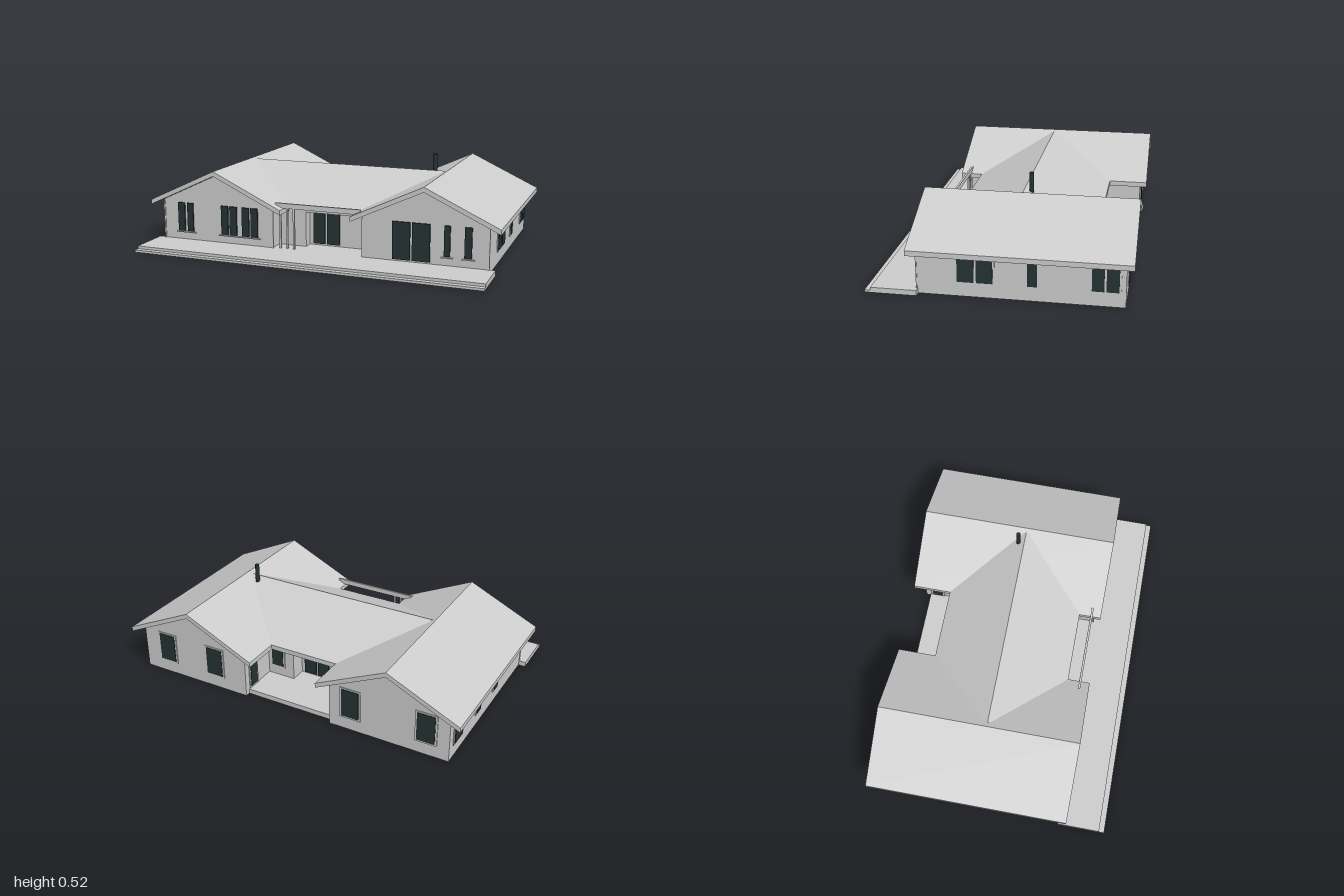
import * as THREE from 'three';

const plaster = new THREE.MeshStandardMaterial({ color: 0xcccccc });
plaster.name = 'paleGrey';
const dark = new THREE.MeshStandardMaterial({ color: 0x253232 });
dark.name = 'darkGlass';

const SLOPE = 0.4675, EAVE = 0.25, THICK = 0.027;

export function createModel() {
  const house = new THREE.Group();
  house.name = 'house';

  const add = (name, geometry, material = plaster) => {
    const mesh = new THREE.Mesh(geometry, material);
    mesh.name = name;
    house.add(mesh);
    return mesh;
  };
  // Box given by its limits on each axis
  const box = (name, x0, x1, y0, y1, z0, z1, material) =>
    add(name, new THREE.BoxGeometry(x1 - x0, y1 - y0, z1 - z0), material)
      .position.set((x0 + x1) / 2, (y0 + y1) / 2, (z0 + z1) / 2);
  const extrude = (points, depth) => new THREE.ExtrudeGeometry(
    new THREE.Shape(points.map(([x, y]) => new THREE.Vector2(x, y))),
    { depth, bevelEnabled: false });
  // Folded roof slab section of a given half span
  const roofSection = (h) => {
    const top = EAVE + h * SLOPE;
    return [[-h, EAVE - THICK], [0, top - THICK], [h, EAVE - THICK], [h, EAVE], [0, top], [-h, EAVE]];
  };

  // Two gabled wings
  for (const s of [-1, 1]) {
    const wallTop = EAVE - THICK + 0.0625 * SLOPE;
    const walls = add('wingWalls', extrude(
      [[-0.3375, 0], [0.3375, 0], [0.3375, wallTop], [0, 0.41], [-0.3375, wallTop]], 1.03));
    walls.position.set(s * 0.5985, 0, -0.625);
    const roof = add('wingRoof', extrude(roofSection(0.4), 1.107));
    roof.position.set(s * 0.6, 0, -0.664);
  }

  // Central roof running between the wings
  const middleRoof = extrude(roofSection(0.385), 1.15);
  middleRoof.rotateY(Math.PI / 2);
  middleRoof.translate(-0.575, 0, -0.065);
  add('middleRoof', middleRoof);

  // Central walls, entry block and rear block
  box('middleWalls', -0.27, 0.27, 0, 0.27, -0.3, 0.26);
  box('entryBlock', -0.27, -0.1, 0, 0.228, 0.2, 0.315);
  box('rearBlock', 0.1, 0.27, 0, 0.245, -0.39, -0.25);

  // Floor slab and stepped front terrace
  box('floorSlab', -0.27, 0.27, 0, 0.028, -0.597, 0.405);
  box('terrace', -0.976, 0.97, 0, 0.028, 0.4, 0.635);
  box('terraceStep', -0.976, 0.97, 0, 0.013, 0.63, 0.665);

  // Entry beam with slats
  box('entryBeam', -0.25, 0.245, 0.252, 0.28, 0.383, 0.395);
  for (const x of [-0.22, -0.18, -0.14]) box('entrySlat', x - 0.005, x + 0.005, 0.02, 0.26, 0.384, 0.394);

  // Downpipes on the wing corners
  for (const s of [-1, 1]) for (const x of [0.26, 0.935]) {
    box('downpipe', s * x - 0.004, s * x + 0.004, 0.028, 0.24, 0.403, 0.409);
  }

  // Flat plate on a wall; axis and dir give the way the wall faces
  const plate = (name, axis, dir, plane, a, b, y0, y1, t, material) => {
    const p = Math.min(plane, plane + dir * t), q = Math.max(plane, plane + dir * t);
    if (axis === 'z') box(name, a, b, y0, y1, p, q, material);
    else box(name, p, q, y0, y1, a, b, material);
  };
  // Row of panes with either a surrounding frame or only a sill
  const windowRow = (axis, dir, plane, panes, y0, y1, trim) => {
    const a = panes[0][0], b = panes[panes.length - 1][1];
    if (trim === 'frame') plate('windowFrame', axis, dir, plane, a - 0.01, b + 0.01, y0 - 0.01, y1 + 0.008, 0.005);
    if (trim === 'sill') plate('windowSill', axis, dir, plane, a - 0.015, b + 0.015, y0 - 0.01, y0 - 0.004, 0.008);
    for (const [p, q] of panes) plate('windowPane', axis, dir, plane, p, q, y0, y1, 0.008, dark);
  };

  // Front windows and glazed doors
  const F = 0.405;
  windowRow('z', 1, F, [[-0.845, -0.803], [-0.787, -0.75]], 0.077, 0.24, 'sill');
  windowRow('z', 1, F, [[-0.573, -0.53], [-0.52, -0.477]], 0.077, 0.24, 'sill');
  windowRow('z', 1, F, [[-0.445, -0.402], [-0.391, -0.349]], 0.077, 0.24, 'sill');
  windowRow('z', 1, F, [[0.426, 0.522], [0.533, 0.629]], 0.037, 0.24);
  windowRow('z', 1, F, [[0.703, 0.735]], 0.077, 0.24, 'sill');
  windowRow('z', 1, F, [[0.81, 0.848]], 0.077, 0.24, 'sill');
  windowRow('z', 1, 0.26, [[-0.076, -0.007], [0.004, 0.078]], 0.037, 0.222);

  // Side windows
  const R = 0.936, L = -0.936;
  windowRow('x', 1, R, [[0.023, 0.105], [0.116, 0.2]], 0.079, 0.222, 'frame');
  windowRow('x', 1, R, [[-0.195, -0.148]], 0.079, 0.222, 'frame');
  windowRow('x', 1, R, [[-0.592, -0.53], [-0.52, -0.46]], 0.079, 0.222, 'frame');
  windowRow('x', -1, L, [[-0.57, -0.47]], 0.079, 0.222, 'frame');
  windowRow('x', -1, L, [[-0.28, -0.225]], 0.079, 0.222, 'frame');
  windowRow('x', -1, L, [[-0.03, 0.02]], 0.079, 0.222, 'frame');

  // Back windows on the gables and around the courtyard
  for (const [a, b] of [[0.73, 0.83], [0.41, 0.51], [-0.435, -0.335], [-0.86, -0.76]]) {
    windowRow('z', -1, -0.625, [[a, b]], 0.079, 0.24, 'frame');
  }
  windowRow('z', -1, -0.39, [[0.165, 0.235]], 0.09, 0.215, 'frame');
  windowRow('z', -1, -0.3, [[-0.076, -0.007], [0.004, 0.078]], 0.037, 0.222);
  windowRow('x', -1, 0.261, [[-0.58, -0.52]], 0.04, 0.222, 'frame');

  // Flue pipe
  add('chimney', new THREE.CylinderGeometry(0.012, 0.012, 0.15, 16), dark).position.set(0.514, 0.442, -0.1);

  return house;
}
